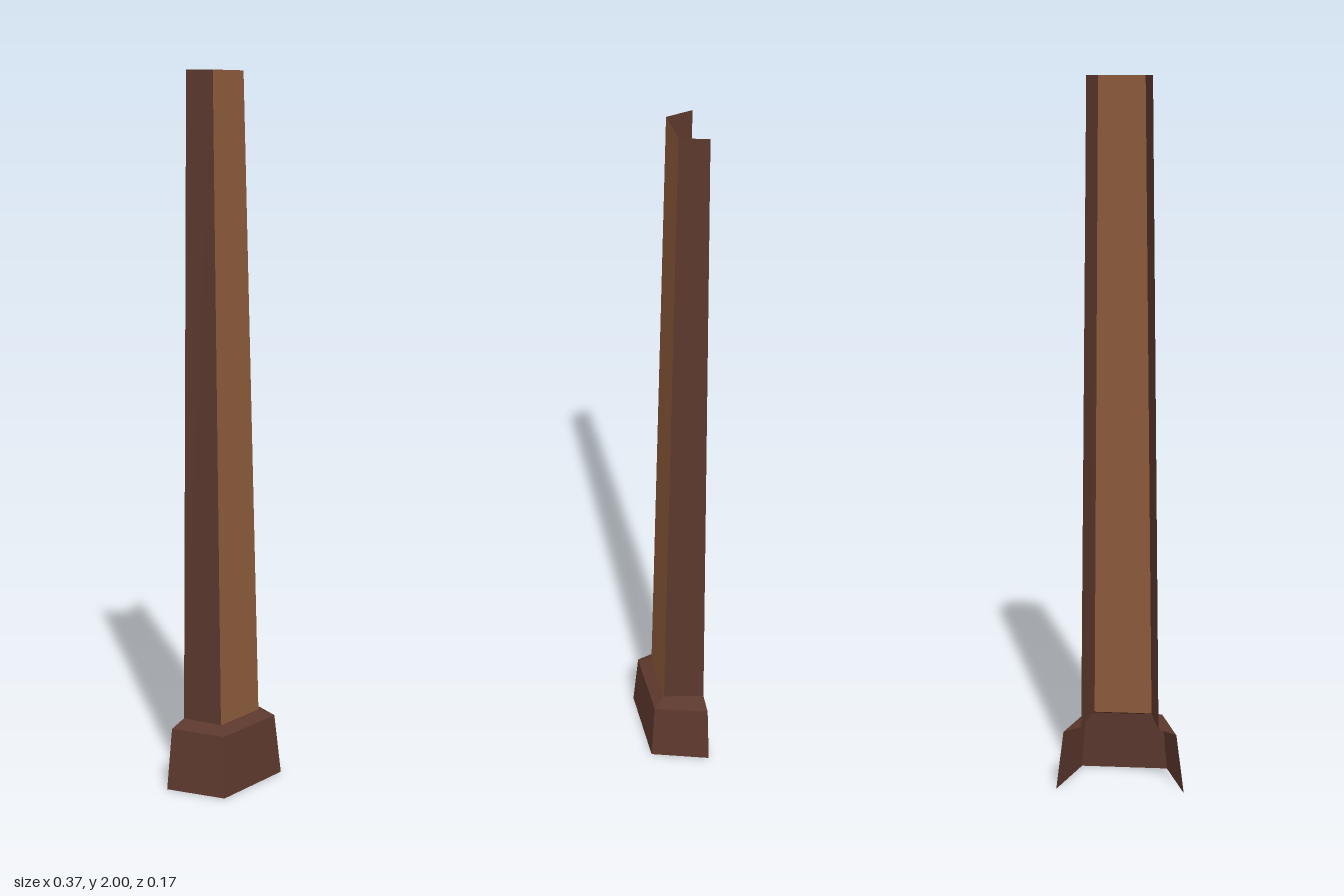
import * as THREE from 'three';

// Each ring is an open trapezoid: back half width, front half width, front depth, height
const BACK = -0.083;
const rings = [
  { y: 0, back: 0.183, front: 0.126, z: 0.083 },
  { y: 0.175, back: 0.161, front: 0.112, z: 0.069 },
  { y: 0.192, back: 0.11, front: 0.083, z: 0.033 },
  { y: 2, back: 0.087, front: 0.063, z: 0.011 - 0.021 },
];

const corners = (r) => [
  [-r.back, r.y, BACK],
  [-r.front, r.y, r.z],
  [r.front, r.y, r.z],
  [r.back, r.y, BACK],
];

// Panels joining two rings; sides 0 = right, 1 = front, 2 = left
function panels(name, lower, upper, sides, material) {
  const a = corners(lower), b = corners(upper);
  const points = sides.flatMap((i) => [a[i], a[i + 1], b[i + 1], a[i], b[i + 1], b[i]]).flat();
  const geometry = new THREE.BufferGeometry();
  geometry.setAttribute('position', new THREE.Float32BufferAttribute(points, 3));
  geometry.computeVertexNormals();
  const mesh = new THREE.Mesh(geometry, material);
  mesh.name = name;
  return mesh;
}

export function createModel() {
  const options = { flatShading: true, side: THREE.DoubleSide };
  const darkWood = new THREE.MeshStandardMaterial({ color: 0x5c382d, ...options });
  darkWood.name = 'darkWood';
  const lightWood = new THREE.MeshStandardMaterial({ color: 0x8b5a3a, ...options });
  lightWood.name = 'lightWood';

  const model = new THREE.Group();
  model.name = 'halfColumn';
  const [foot, shoulder, neck, top] = rings;
  model.add(
    panels('base', foot, shoulder, [0, 1, 2], darkWood),
    panels('baseLedge', shoulder, neck, [0, 1, 2], darkWood),
    panels('shaftFront', neck, top, [1], lightWood),
    panels('shaftSides', neck, top, [0, 2], darkWood),
  );
  return model;
}
